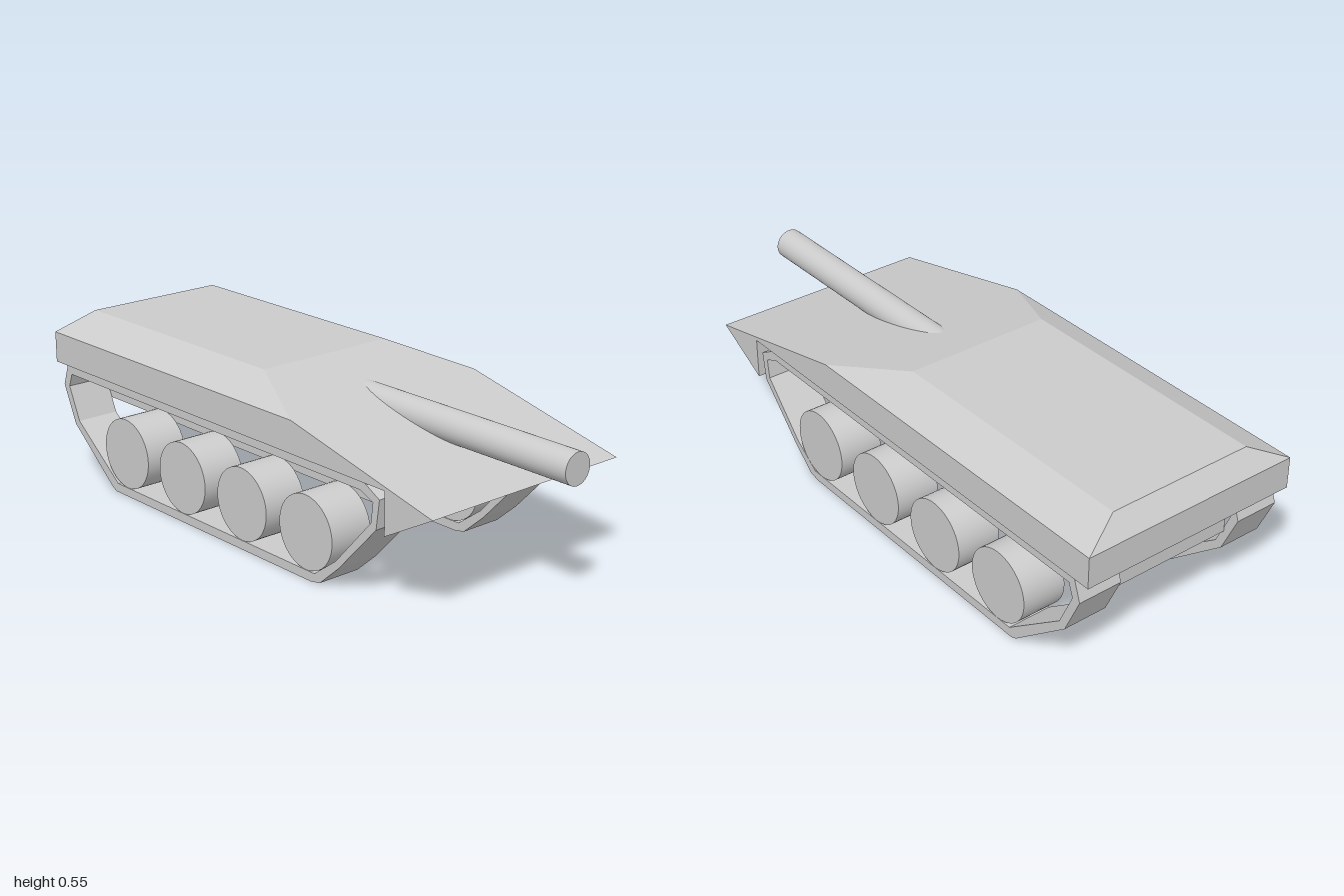
import * as THREE from 'three';
import { ConvexGeometry } from 'three/addons/geometries/ConvexGeometry.js';

const grey = new THREE.MeshStandardMaterial({ color: 0xcccccc });

const toPoints = (list) => list.map(([z, y]) => new THREE.Vector2(z, y));

// Side profile in (z, y), extruded across x and centred on x = 0.
// The profile runs clockwise and the hole anticlockwise, so all walls face out.
function sideExtrude(profile, width, hole) {
  const shape = new THREE.Shape(toPoints(profile));
  if (hole) shape.holes.push(new THREE.Path(toPoints(hole)));
  return new THREE.ExtrudeGeometry(shape, { depth: width, bevelEnabled: false })
    .rotateY(-Math.PI / 2)
    .translate(width / 2, 0, 0);
}

export function createModel() {
  const model = new THREE.Group();
  const add = (name, geometry, parent = model) => {
    const mesh = new THREE.Mesh(geometry, grey);
    mesh.name = name;
    parent.add(mesh);
    return mesh;
  };

  // Main dimensions
  const halfWidth = 0.379, roofHalf = 0.25;
  const roofY = 0.547, shoulderY = 0.484, sillY = 0.38, floorY = 0.243;
  const noseZ = 0.822, noseY = 0.349, roofFrontZ = -0.05, noseBackZ = 0.63;
  const glacisZ = (y) => noseZ + (roofFrontZ - noseZ) * (y - noseY) / (roofY - noseY);

  // Upper hull: sloped glacis, chamfered shoulders and rear roof edge
  const corners = [];
  for (const s of [-1, 1]) {
    for (const [x, y, z] of [
      [roofHalf, roofY, roofFrontZ], [roofHalf, roofY, -0.946],
      [halfWidth, shoulderY, glacisZ(shoulderY)], [halfWidth, shoulderY, -1],
      [halfWidth, sillY, glacisZ(sillY)], [halfWidth, sillY, -1],
    ]) corners.push(new THREE.Vector3(s * x, y, z));
  }
  add('upperHull', new ConvexGeometry(corners));

  // Wedge nose under the glacis
  add('noseWedge', sideExtrude([
    [noseZ, noseY], [noseBackZ, floorY], [noseBackZ, sillY], [glacisZ(sillY), sillY],
  ], halfWidth * 2));

  // Lower hull between the tracks
  add('lowerHull', sideExtrude([
    [noseBackZ, floorY], [-0.914, floorY], [-0.914, sillY], [noseBackZ, sillY],
  ], 0.45));

  // Gun barrel, its rear end buried in the hull
  add('gunBarrel', new THREE.CylinderGeometry(0.0505, 0.0505, 1, 48)
    .rotateX(Math.PI / 2).translate(0, 0.455, 0.5));

  // Running gear: a closed track band around four road wheels on each side
  const trackOuter = [
    [0.54, sillY], [0.605, 0.345], [0.592, 0.25], [0.432, 0.08], [0.35, 0.008], [0.31, 0],
    [-0.68, 0], [-0.70, 0.008], [-0.908, 0.18], [-0.965, 0.307], [-0.94, sillY],
  ];
  const trackInner = [
    [-0.918, 0.352], [-0.935, 0.307], [-0.885, 0.195], [-0.67, 0.03], [0.325, 0.03],
    [0.42, 0.1], [0.57, 0.265], [0.578, 0.33], [0.525, 0.352],
  ];
  const trackWidth = 0.15;
  for (const [side, s] of [['left', 1], ['right', -1]]) {
    const gear = new THREE.Group();
    gear.name = side + 'RunningGear';
    gear.position.x = s * 0.3;
    model.add(gear);
    add(side + 'Track', sideExtrude(trackOuter, trackWidth, trackInner), gear);
    for (let i = 0; i < 4; i++) {
      const wheel = add(side + 'RoadWheel' + (i + 1),
        new THREE.CylinderGeometry(0.119, 0.119, trackWidth, 48).rotateZ(Math.PI / 2), gear);
      wheel.position.set(0, 0.15, 0.286 - i * 0.3);
    }
  }
  return model;
}
